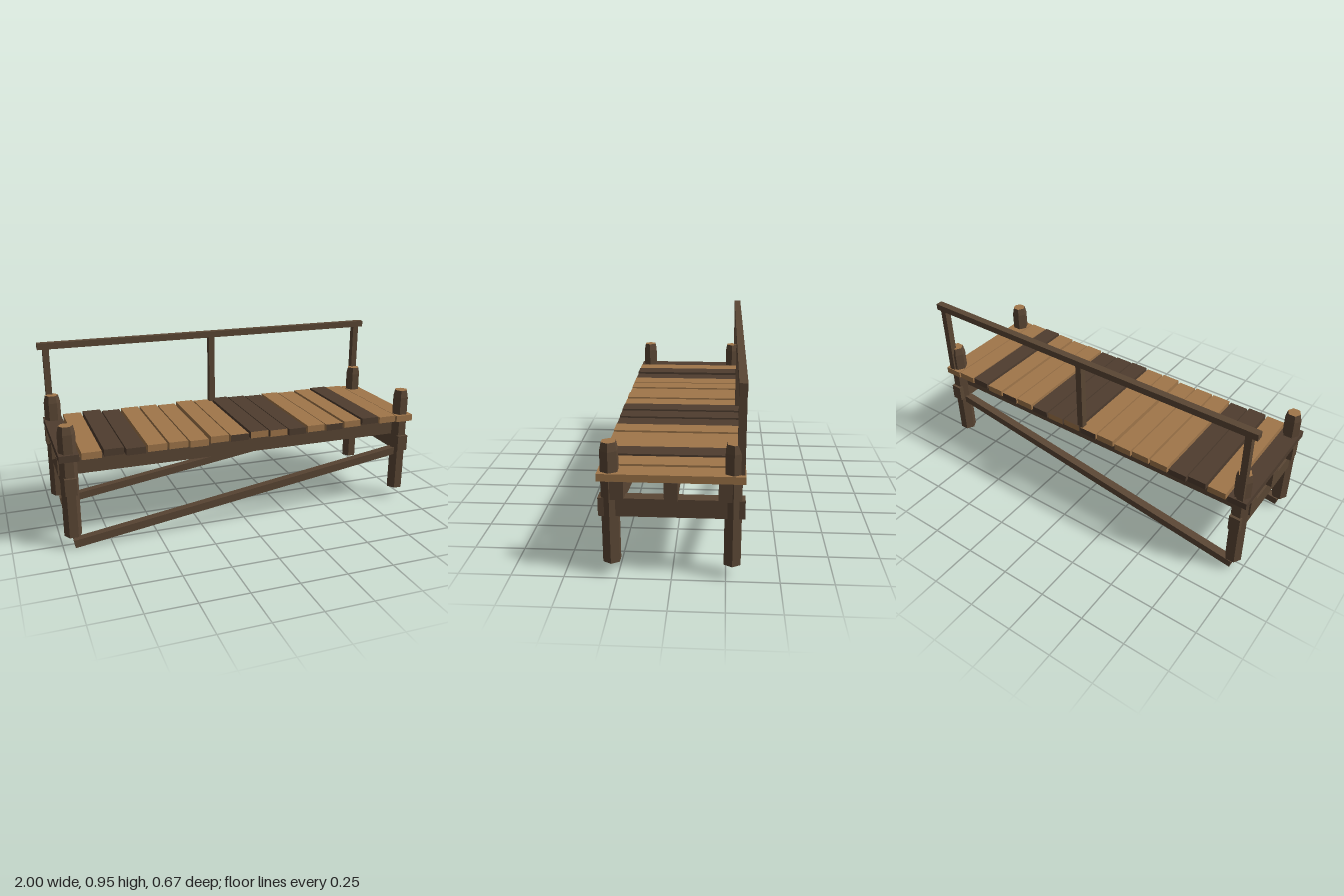
import * as THREE from 'three';

const material = (name, color) => {
  const m = new THREE.MeshStandardMaterial({ color });
  m.name = name;
  return m;
};

export function createModel() {
  const frame = material('frame wood', 0x5a4634);
  const dark = material('dark plank wood', 0x4f3d2f);
  const light = material('light plank wood', 0xa0764a);
  const model = new THREE.Group();
  model.name = 'footbridge';

  const add = (name, geometry, mat, x, y, z) => {
    const mesh = new THREE.Mesh(geometry, mat);
    mesh.name = name;
    mesh.position.set(x, y, z);
    model.add(mesh);
    return mesh;
  };
  const box = (name, w, h, d, x, y, z, mat = frame) =>
    add(name, new THREE.BoxGeometry(w, h, d), mat, x, y, z);

  // Six-sided piece with flat faces and a corner pointing along x
  const hex = (rTop, rBottom, h, open = false) => {
    const g = new THREE.CylinderGeometry(rTop, rBottom, h, 6, 1, open).rotateY(Math.PI / 6).toNonIndexed();
    g.computeVertexNormals();
    return g;
  };

  // Corner posts with tapered tips and pale cut tops
  for (const x of [-0.945, 0.945]) {
    for (const z of [-0.279, 0.279]) {
      add('post', hex(0.045, 0.045, 0.55), frame, x, 0.345, z);
      add('postTip', hex(0.036, 0.045, 0.04), [frame, light, frame], x, 0.64, z);
    }
    // Cross beam joining each pair of posts
    box('crossBeam', 0.06, 0.089, 0.666, x, 0.3515, 0);
  }

  // Long beams under the deck
  for (const z of [-0.243, 0, 0.243]) box('deckBeam', 1.994, 0.088, 0.062, 0, 0.442, z);

  // Slanted braces along both sides
  const start = new THREE.Vector2(-0.943, 0.022);
  const end = new THREE.Vector2(0.945, 0.304);
  const span = end.clone().sub(start);
  for (const z of [-0.279, 0.279]) {
    const brace = box('brace', span.length(), 0.042, 0.044, (start.x + end.x) / 2, (start.y + end.y) / 2, z);
    brace.rotation.z = span.angle();
  }

  // Deck planks: top colour, end-grain colour and uneven height
  const tops = 'DLDDLLLLLDDDLLLDLL';
  const ends = 'DLDDLLLLDLLDLDLDLL';
  const lifts = [0, 1, 2, 0, 1, 1, 0, 2, 1, 2, 1, 0, 1, 0, 1, 2, 1, 0];
  const wood = { D: dark, L: light };
  lifts.forEach((lift, i) => {
    const top = wood[tops[i]];
    const tip = wood[ends[i]];
    box('plank', 0.1, 0.036, 0.666, -0.945 + i * 0.1112, 0.503 + lift * 0.005, 0,
      [top, top, top, top, tip, tip]);
  });

  // Handrail on the back side
  box('handrail', 2, 0.035, 0.038, 0, 0.9325, -0.31);
  for (const x of [-0.955, 0, 0.955]) box('railPost', 0.034, 0.425, 0.036, x, 0.7075, -0.31);

  return model;
}
